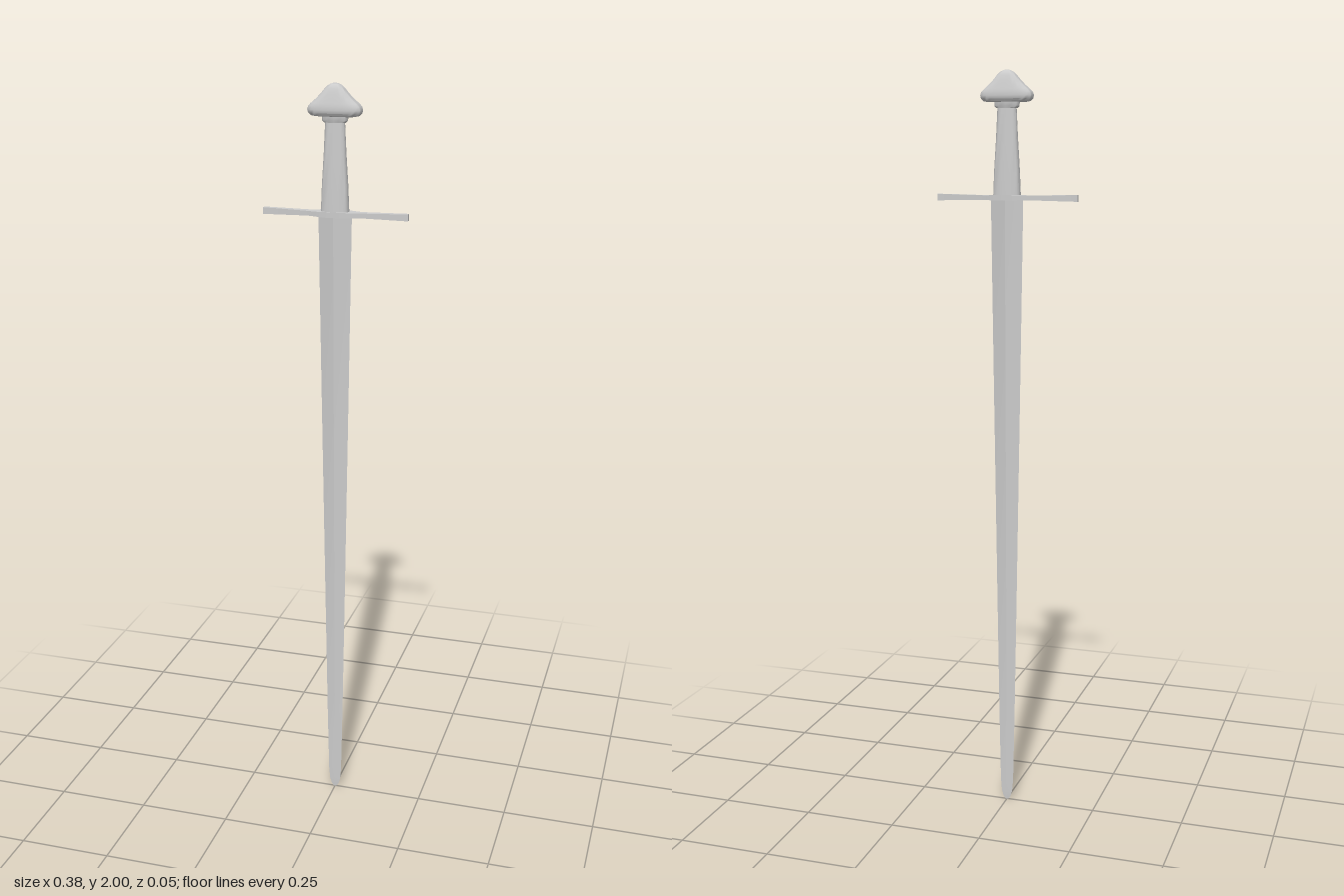
import * as THREE from 'three';
import { toCreasedNormals } from 'three/addons/utils/BufferGeometryUtils.js';

const steel = new THREE.MeshStandardMaterial({ color: 0xcccccc });

// Skin superellipse rings [y, halfX, halfZ]; power 1 = ellipse, 0 = box (4 sides, turned 45 degrees)
function loft(name, rings, sides, power, turn, crease) {
  const pos = [], index = [];
  const bend = (v) => Math.sign(v) * Math.abs(v) ** power;
  for (const [y, hx, hz] of rings) {
    for (let j = 0; j < sides; j++) {
      const a = turn + (j / sides) * Math.PI * 2;
      pos.push(hx * bend(Math.cos(a)), y, hz * bend(Math.sin(a)));
    }
  }
  const last = rings.length - 1;
  const bottom = rings.length * sides, top = bottom + 1;
  pos.push(0, rings[0][0], 0, 0, rings[last][0], 0);
  for (let j = 0; j < sides; j++) {
    const k = (j + 1) % sides;
    for (let i = 0; i < last; i++) {
      const a = i * sides + j, b = i * sides + k;
      index.push(a, a + sides, b, b, a + sides, b + sides);
    }
    index.push(bottom, j, k, top, last * sides + k, last * sides + j);
  }
  const geo = new THREE.BufferGeometry();
  geo.setAttribute('position', new THREE.Float32BufferAttribute(pos, 3));
  geo.setIndex(index);
  const mesh = new THREE.Mesh(toCreasedNormals(geo, crease), steel);
  mesh.name = name;
  return mesh;
}

export function createModel() {
  const sword = new THREE.Group();
  sword.name = 'sword';

  // Diamond-section blade with a rounded point
  sword.add(loft('blade', [
    [0, 0.004, 0.0006], [0.008, 0.01, 0.001], [0.025, 0.015, 0.0012], [0.06, 0.018, 0.0015],
    [0.25, 0.022, 0.003], [0.62, 0.028, 0.007], [1.2, 0.037, 0.0135], [1.675, 0.044, 0.018],
  ], 4, 1, 0, 0.25));

  // Crossguard: slim bar swelling around the grip, lofted along y and laid along x
  const half = [[0.19, 0.0085, 0.006], [0.07, 0.006, 0.011], [0.05, 0.006, 0.017], [0.03, 0.007, 0.022]];
  const guard = loft('crossguard', [
    ...half.map(([d, h, w]) => [-d, h, w]),
    ...half.map(([d, h, w]) => [d, h, w]).reverse(),
  ], 4, 0, Math.PI / 4, 0.5);
  guard.rotation.z = Math.PI / 2;
  guard.position.y = 1.679;
  sword.add(guard);

  // Oval tapering grip
  sword.add(loft('grip', [
    [1.68, 0.037, 0.02], [1.75, 0.034, 0.019], [1.83, 0.029, 0.016], [1.915, 0.025, 0.0125],
  ], 20, 0.85, 0, 0.7));

  // Collar under the pommel
  sword.add(loft('collar', [
    [1.905, 0.028, 0.014], [1.91, 0.033, 0.016], [1.925, 0.034, 0.016],
  ], 20, 0.8, 0, 0.7));

  // Hat-shaped pommel with a rolled base lobe
  sword.add(loft('pommel', [
    [1.92, 0.052, 0.016], [1.922, 0.062, 0.021], [1.928, 0.068, 0.0245], [1.936, 0.07, 0.0255],
    [1.945, 0.067, 0.025], [1.952, 0.06, 0.0235], [1.962, 0.048, 0.021], [1.974, 0.036, 0.018],
    [1.986, 0.026, 0.0145], [1.994, 0.018, 0.011], [1.998, 0.011, 0.007], [2, 0.004, 0.003],
  ], 32, 0.6, 0, 1));

  return sword;
}
